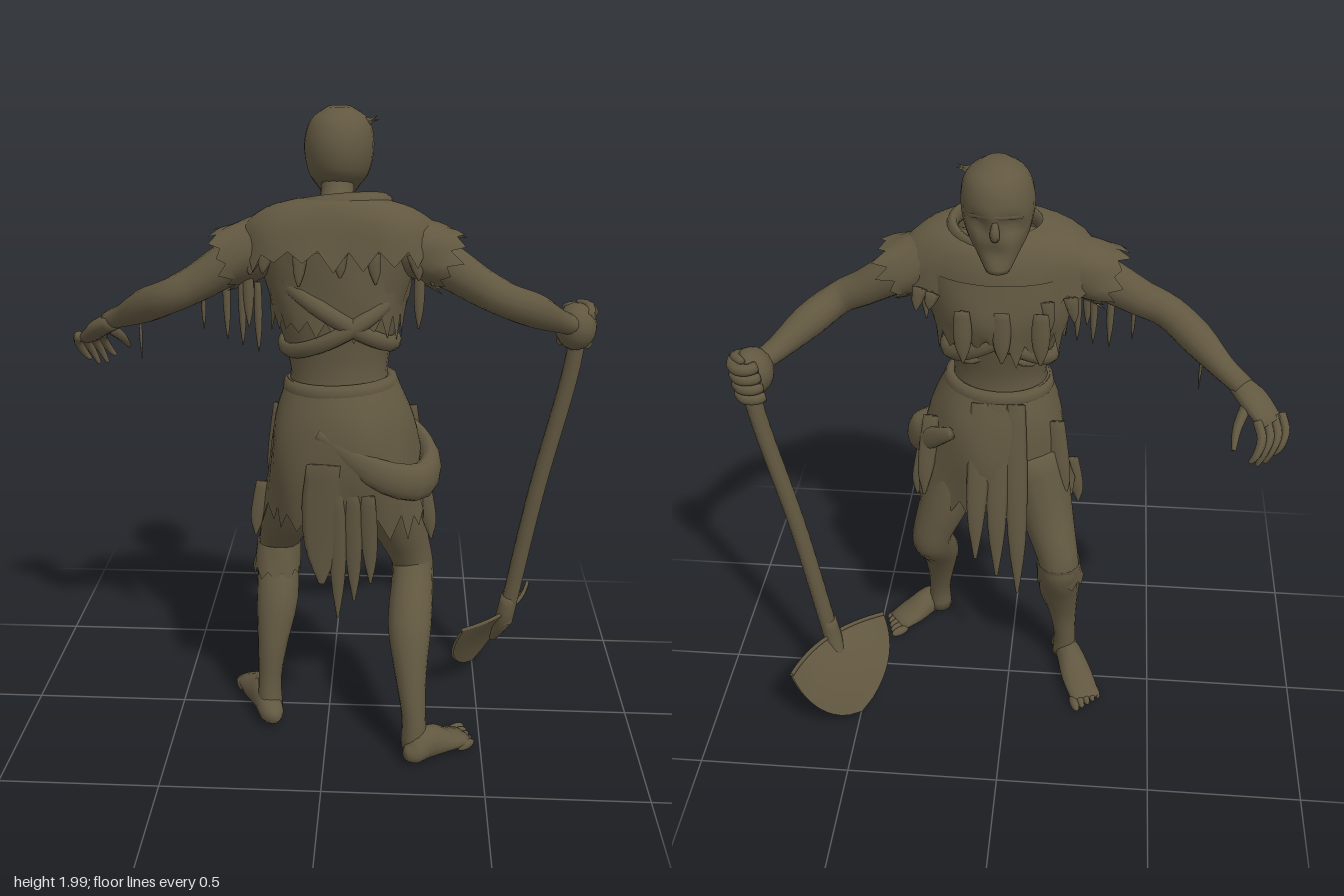
import * as THREE from 'three';

const V = (x, y, z) => new THREE.Vector3(x, y, z);
const X = V(1, 0, 0), Y = V(0, 1, 0), Z = V(0, 0, 1);

export function createModel() {
  const model = new THREE.Group();
  const weathered = new THREE.MeshStandardMaterial({ color: 0x625841, side: THREE.DoubleSide });
  weathered.name = 'weathered brown';

  let seed = 7;
  const rnd = () => (seed = (seed * 16807) % 2147483647) / 2147483647;

  function add(name, geo, parent = model) {
    const m = new THREE.Mesh(geo, weathered);
    m.name = name;
    parent.add(m);
    return m;
  }
  function group(name) {
    const g = new THREE.Group();
    g.name = name;
    model.add(g);
    return g;
  }

  // Skins a smooth surface over sections [x, y, z, halfWidth, halfDepth].
  // flat: horizontal rings; open: no caps; ragged: torn last edge; wrinkle: cloth folds
  function loft(secs, { sides = 14, steps = 3, ref = Z, flat, open, ragged = 0, wrinkle = 0 } = {}) {
    const path = new THREE.CatmullRomCurve3(secs.map(s => V(s[0], s[1], s[2])), false, 'catmullrom');
    const size = new THREE.CatmullRomCurve3(secs.map(s => V(s[3], s[4], 0)), false, 'catmullrom');
    const n = (secs.length - 1) * steps, pos = [], idx = [];
    const torn = Array.from({ length: sides }, (_, j) => (j % 2 ? 1 : -0.5) * (0.2 + 0.8 * rnd()));
    for (let i = 0; i <= n; i++) {
      const k = i / n, c = path.getPoint(k), r = size.getPoint(k);
      const t = flat ? V(0, -1, 0) : path.getTangent(k);
      const fwd = ref.clone().addScaledVector(t, -ref.dot(t)).normalize();
      const side = fwd.clone().cross(t);
      for (let j = 0; j < sides; j++) {
        const q = j / sides * Math.PI * 2;
        const w = 1 + wrinkle * (Math.sin(q * 5 + k * 4) + 0.6 * Math.sin(q * 9 - k * 7)) * k;
        const p = c.clone().addScaledVector(side, r.x * w * Math.cos(q)).addScaledVector(fwd, r.y * w * Math.sin(q));
        p.addScaledVector(t, ragged * torn[j] * Math.pow(k, 8));
        pos.push(p.x, p.y, p.z);
      }
    }
    for (let i = 0; i < n; i++) for (let j = 0; j < sides; j++) {
      const a = i * sides + j, b = i * sides + (j + 1) % sides;
      idx.push(a, b, a + sides, b, b + sides, a + sides);
    }
    if (!open) [0, n].forEach(i => {
      const c = path.getPoint(i / n), m = pos.length / 3;
      pos.push(c.x, c.y, c.z);
      for (let j = 0; j < sides; j++) {
        const a = i * sides + j, b = i * sides + (j + 1) % sides;
        idx.push(m, i ? a : b, i ? b : a);
      }
    });
    const g = new THREE.BufferGeometry();
    g.setAttribute('position', new THREE.Float32BufferAttribute(pos, 3));
    g.setIndex(idx);
    g.computeVertexNormals();
    return g;
  }

  function blob(name, x, y, z, a, b, c, parent) {
    const m = add(name, new THREE.SphereGeometry(1, 14, 10), parent);
    m.position.set(x, y, z);
    m.scale.set(a, b, c);
    return m;
  }

  // Head with sunken eyes, facing -z
  const head = group('head');
  const skull = loft([
    [.027, 1.998, -.03, .035, .04], [.028, 1.96, -.033, .086, .098], [.026, 1.89, -.033, .104, .122],
    [.025, 1.81, -.042, .092, .112], [.022, 1.76, -.08, .064, .075], [.02, 1.712, -.126, .034, .032]],
  { flat: true, sides: 24, steps: 4 });
  const sp = skull.attributes.position;
  for (let i = 0; i < sp.count; i++) {
    const x = sp.getX(i), y = sp.getY(i), z = sp.getZ(i);
    if (z > -.05) continue;
    const bump = (cx, cy, s) => Math.exp(-((x - cx) ** 2 + (y - cy) ** 2) / (s * s));
    sp.setZ(i, z + .03 * (bump(-.018, 1.85, .024) + bump(.068, 1.85, .024)) + .012 * bump(.025, 1.77, .03));
  }
  skull.computeVertexNormals();
  add('skull', skull, head);
  add('nose', loft([[.025, 1.865, -.143, .008, .012], [.025, 1.835, -.155, .014, .016], [.025, 1.815, -.148, .012, .012]], { sides: 8 }), head);
  add('brow', loft([-1, 0, 1].map(s => [.025 + s * .07, 1.882 - s * s * .01, -.145 + s * s * .037, .011, .011]), { sides: 8, ref: Y }), head);
  for (const tilt of [-.9, -1.5]) {
    const tuft = add('hairTuft', new THREE.ConeGeometry(.014, .05, 5), head);
    tuft.position.set(.12, 1.96, -.015);
    tuft.rotation.z = tilt;
  }
  add('neck', loft([[.022, 1.82, -.02, .055, .06], [.023, 1.75, .015, .05, .052], [.027, 1.64, .09, .085, .08]]));

  // Body
  add('torso', loft([
    [.028, 1.7, .13, .1, .08], [.03, 1.65, .125, .23, .115], [.03, 1.56, .105, .23, .145], [.03, 1.42, .105, .19, .142],
    [.035, 1.24, .12, .145, .115], [.04, 1.08, .12, .19, .155], [.045, .95, .12, .2, .16], [.045, .84, .11, .13, .1]],
  { flat: true, sides: 24 }));
  for (const s of [-1, 1]) for (let i = 0; i < 3; i++) {
    const y = 1.43 - i * .05, w = .15 - i * .012;
    add('rib', loft([[.032 + s * w * 1.12, y + .03, .1, .012, .012], [.032 + s * w * .8, y, .005, .012, .012],
      [.032 + s * .03, y + .02, -.02 + i * .012, .01, .01]], { sides: 6, ref: Y }));
  }

  // Arms and torn sleeves, mirrored about the body's centre line
  for (const s of [-1, 1]) {
    const mirror = secs => secs.map(([x, ...rest]) => [.03 + s * x, ...rest]);
    add(s < 0 ? 'rightArm' : 'leftArm', loft(mirror([
      [.23, 1.6, .11, .075, .08], [.32, 1.56, .115, .064, .066], [.42, 1.5, .125, .054, .056], [.505, 1.458, .125, .05, .052],
      [.59, 1.412, .055, .052, .052], [.67, 1.362, -.025, .038, .037], [.73, 1.332, -.078, .036, .03]]), { ref: Y }));
    add('sleeve', loft(mirror([[.18, 1.635, .115, .085, .085], [.26, 1.6, .115, .095, .09], [.325, 1.575, .115, .1, .092]]),
      { ref: Y, open: true, sides: 24, ragged: .035, wrinkle: .05 }));
  }

  // Open hand
  const openHand = group('openHand');
  add('palm', loft([[-.68, 1.335, -.055, .034, .028], [-.73, 1.305, -.1, .05, .03], [-.785, 1.255, -.15, .045, .02]], { ref: Y }), openHand);
  for (let i = 0; i < 4; i++) {
    const x = -.815 + i * .024, z = -.115 - i * .016, tip = i % 3 ? 0 : .02;
    add('finger', loft([[x, 1.268, z, .016, .015], [x - .012, 1.235, z - .04, .015, .014], [x, 1.195, z - .065, .013, .012],
      [x + .018, 1.15 + tip, z - .07, .007, .007]], { sides: 8, ref: X }), openHand);
  }
  add('thumb', loft([[-.715, 1.3, -.11, .02, .018], [-.685, 1.25, -.17, .015, .014], [-.675, 1.205, -.225, .007, .007]], { sides: 8, ref: X }), openHand);

  // Shovel
  const shovel = group('shovel');
  const shaft = new THREE.CatmullRomCurve3([V(.778, 1.36, -.115), V(.765, 1.2, -.12), V(.675, .75, -.135), V(.595, .26, -.155)]);
  add('shaft', new THREE.TubeGeometry(shaft, 20, .027, 10), shovel);
  add('socket', loft([[.605, .36, -.15, .027, .027], [.592, .27, -.157, .03, .03], [.56, .17, -.2, .012, .012]]), shovel);
  // Curved blade narrowing to a point, two skins close together
  const blade = new THREE.PlaneGeometry(2, 1, 12, 12), bp = blade.attributes.position;
  for (let i = 0; i < bp.count; i++) {
    const u = bp.getX(i), v = .5 - bp.getY(i);
    const s = u * Math.pow(Math.max(0, 1 - v * v), .7);
    const bow = .05 * (1 - u * u) * (1 - v) - .014 * Math.sin(v * Math.PI);
    bp.setXYZ(i, .565 + s * .125 - v * .075 + bow * .8, .295 + s * .01 - v * .255, -.198 - s * .168 - v * .07 + bow * .6);
  }
  blade.computeVertexNormals();
  add('blade', blade, shovel);
  add('bladeBack', blade.clone(), shovel).position.set(.007, 0, .005);
  // Rolled lip along the blade's top row of points
  const lip = Array.from({ length: 13 }, (_, i) => V(bp.getX(i), bp.getY(i), bp.getZ(i)));
  add('bladeLip', new THREE.TubeGeometry(new THREE.CatmullRomCurve3(lip), 16, .007, 6), shovel);

  // Fist closed around the shaft
  const fist = group('fist');
  blob('fistPalm', .765, 1.325, -.102, .066, .075, .072, fist);
  for (let i = 0; i < 4; i++) {
    const y = 1.37 - i * .034, x = .772 - i * .004;
    const curl = [-2.5, -1.9, -1.2, -.5, .2].map(q => [x + .044 * Math.cos(q), y, -.118 + .052 * Math.sin(q), .018, .019]);
    add('curledFinger', loft(curl, { sides: 8, ref: Y }), fist);
  }
  add('curledThumb', loft([[.8, 1.36, -.07, .02, .02], [.805, 1.385, -.12, .017, .017], [.775, 1.39, -.155, .011, .011]], { sides: 8, ref: Y }), fist);

  // Legs share heights and thicknesses; each has its own bend
  const legRings = [[.95, .11, .13], [.76, .089, .1], [.62, .069, .068], [.55, .066, .066], [.42, .069, .064], [.28, .05, .05], [.15, .038, .042], [.05, .043, .046]];
  const leg = (name, xs, zs) => add(name, loft(legRings.map(([y, a, b], i) => [xs[i], y, zs[i], a, b]), { sides: 16 }));
  leg('rightLeg', [-.07, -.12, -.165, -.172, -.172, -.185, -.195, -.195], [.09, .03, -.045, -.05, .018, .062, .075, .085]);
  leg('leftLeg', [.15, .21, .26, .272, .264, .27, .282, .285], [.13, .085, .06, .075, .185, .25, .287, .295]);

  // Feet run from heel to toe
  function foot(name, hx, hz, tx, tz, s) {
    const g = group(name), at = (k, y, a, b) => [hx + (tx - hx) * k, y, hz + (tz - hz) * k, a, b];
    add('sole', loft([at(-.04, .045, .015, .018), at(.1, .046, .04, .038), at(.4, .062, .045, .055), at(.75, .044, .056, .036), at(1.12, .027, .052, .018)], { ref: Y }), g);
    const l = Math.hypot(tx - hx, tz - hz), dx = (tx - hx) / l, dz = (tz - hz) / l;
    for (let i = 0; i < 5; i++) {
      const o = (i - 2) * .023 * s, d = .04 - i * .009;
      const toe = blob('toe', tx + dx * d - dz * o, .023, tz + dz * d + dx * o, .015 - i * .001, .017, .036, g);
      toe.rotation.y = Math.atan2(dx, dz);
    }
  }
  foot('rightFoot', -.175, .155, -.272, -.1, -1);
  foot('leftFoot', .265, .345, .42, .215, 1);

  // Torn clothing; the shawl is tipped forward
  const cloth = { flat: true, open: true, sides: 44, wrinkle: .028 };
  const shawl = add('shawl', loft([[.01, .09, .02, .13, .085], [.005, .065, .01, .215, .12], [0, .01, 0, .285, .145], [-.005, -.08, -.015, .31, .16]], { ...cloth, ragged: .045 }));
  shawl.position.set(.03, 1.66, .115);
  shawl.rotation.x = -.2;
  add('tornShirt', loft([[.03, 1.62, .1, .23, .155], [.03, 1.5, .09, .215, .165], [.03, 1.4, .1, .195, .155]], { ...cloth, ragged: .06 }));
  add('skirt', loft([[.045, 1.22, .12, .165, .135], [.05, 1.1, .125, .21, .175], [.052, .95, .125, .235, .185], [.055, .79, .12, .255, .16]],
    { ...cloth, wrinkle: .04, ragged: .065 }));
  add('kneeRag', loft([[-.17, .6, -.05, .072, .073], [-.176, .51, -.025, .077, .075]], { ...cloth, sides: 20, ragged: .03 }));

  // Rolled cloth loops around the body
  function roll(name, x, y, z, a, b, thick, tiltX, tiltZ) {
    const m = add(name, new THREE.TorusGeometry(1, .13, 8, 32).rotateX(Math.PI / 2).scale(a, thick, b));
    m.position.set(x, y, z);
    m.rotation.set(tiltX, 0, tiltZ);
  }
  roll('collar', .035, 1.72, .11, .14, .1, .25, -.3, .1);
  roll('belt', .04, 1.2, .12, .155, .13, .22, 0, .05);
  roll('chestBand', .03, 1.43, .105, .195, .15, .2, 0, -.55);
  roll('backBand', .03, 1.4, .11, .18, .145, .2, .2, .5);
  add('hipSash', loft([[-.02, 1.09, .28, .015, .02], [.14, .98, .295, .022, .045], [.27, .93, .25, .035, .06], [.315, .95, .16, .035, .06],
    [.28, 1, .05, .025, .045], [.18, 1.08, -.035, .015, .02]], { ref: Y, sides: 12 }));

  // Thin hanging strips, tapering to a torn end
  const rags = group('hangingRags');
  const strip = (x, y, z, len, w, dx = 0, dz = 0) =>
    add('ragStrip', loft([[x, y, z, w * .8, .008], [x + dx * .3, y - len * .35, z + dz * .5, w, .01],
      [x + dx * .8, y - len * .7, z + dz * .9, w * .8, .009], [x + dx, y - len, z + dz, w * .15, .004]], { sides: 8 }), rags);
  strip(0, 1, .305, .4, .065, -.01, -.03);
  for (let i = 0; i < 3; i++) {
    strip(.04 + i * .045, .9, .295, .42 - i * .06, .026, .005 * i, -.03);
    strip(.03 + (i - 1) * .055, 1.19, -.02, .72 - i * .07, .036, .015 * i - .01, -.06);
    strip(-.1 + i * .115, 1.54, -.07, .17, .028);
    strip(-.3 + i * .05, 1.56 - i * .02, .12 + i * .03, .23 - i * .01, .012);
  }
  for (const s of [-1, 1]) {
    strip(.05 + s * .2, 1.1, .03, .3, .03, s * .03, -.02);
    strip(.05 + s * .25, .88, .14, .18, .025, s * .025);
    strip(.02 + s * .25, 1.56, .16, .18, .016);
  }
  strip(-.37, 1.5, .12, .14, .007);
  strip(-.58, 1.38, .04, .14, .005);
  // Short torn points around the shoulder hem
  for (let i = 0; i < 18; i++) {
    const q = i / 18 * Math.PI * 2 + rnd() * .2, c = Math.cos(q), x = .025 + .3 * c, z = .1 + .155 * Math.sin(q), l = .05 + .05 * rnd();
    const y = 1.59 + .03 * Math.sin(q);
    add('hemPoint', loft([[x, y, z, .022, .007], [x + .015 * c, y - l * .6, z, .016, .007], [x + .02 * c, y - l, z, .003, .003]], { sides: 6, steps: 2 }), rags);
  }
  return model;
}
